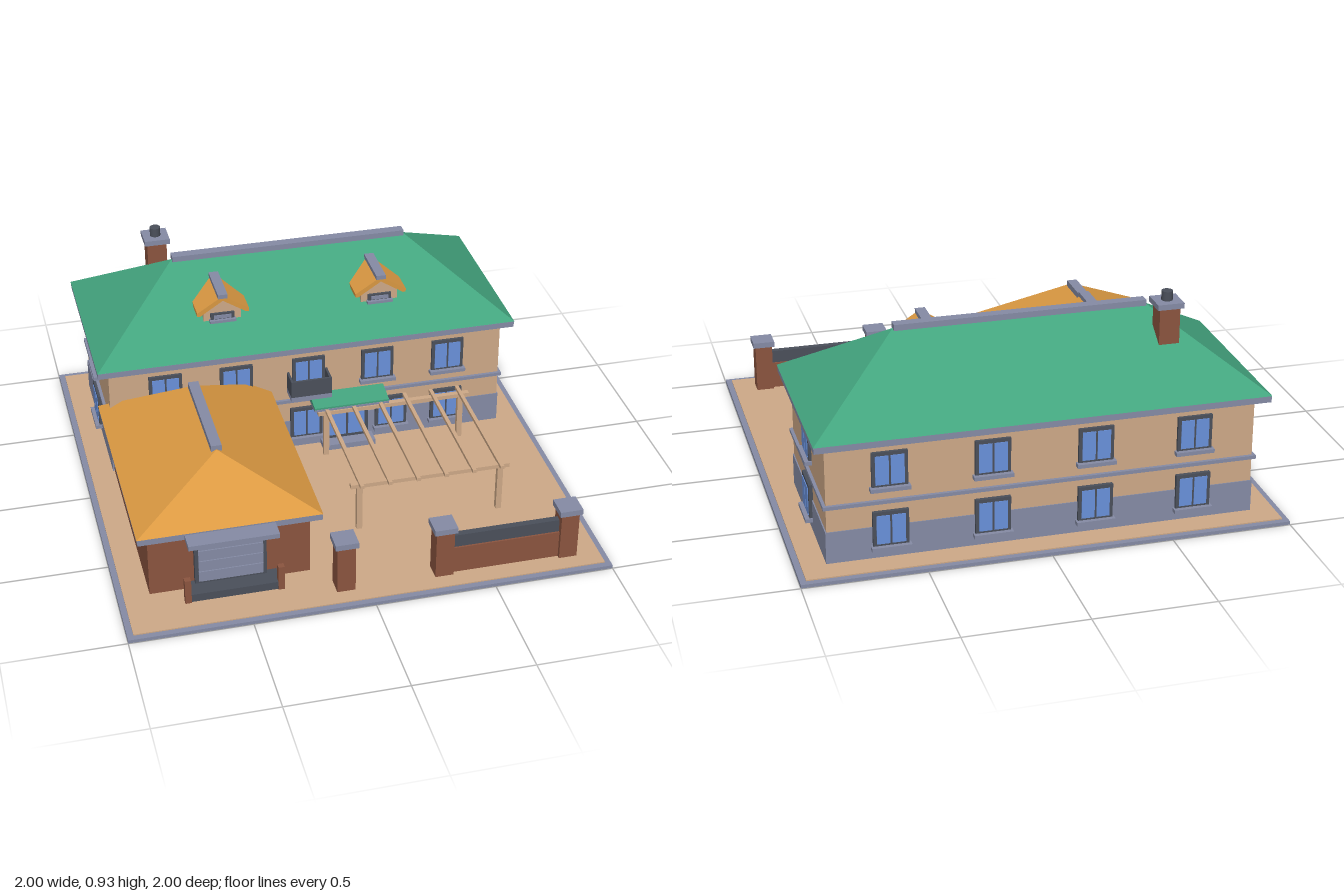
import * as THREE from 'three';

const paint = (name, color) => {
  const m = new THREE.MeshStandardMaterial({ color });
  m.name = name;
  return m;
};

export function createModel() {
  const house = new THREE.Group();
  house.name = 'house';
  const tan = paint('tan plaster', 0xcfaa88);
  const slate = paint('slate grey', 0x868ca6);
  const brick = paint('brick brown', 0x8c5540);
  const dark = paint('dark grey', 0x4b505b);
  const green = paint('green roof', 0x43a47e);
  const orange = paint('orange roof', 0xdb9942);
  const blue = paint('window blue', 0x6a92dc);

  const add = (name, geo, mat, parent = house) => {
    const m = new THREE.Mesh(geo, mat);
    m.name = name;
    parent.add(m);
    return m;
  };
  // Box given by its minimum and maximum on each axis
  const box = (name, mat, x0, x1, y0, y1, z0, z1, parent = house) => {
    const m = add(name, new THREE.BoxGeometry(x1 - x0, y1 - y0, z1 - z0), mat, parent);
    m.position.set((x0 + x1) / 2, (y0 + y1) / 2, (z0 + z1) / 2);
    return m;
  };
  const group = (name, x, y, z, turn = 0) => {
    const g = new THREE.Group();
    g.name = name;
    g.position.set(x, y, z);
    g.rotation.y = turn;
    house.add(g);
    return g;
  };
  // Hipped roof with its ridge along x
  const hipRoof = (name, mat, halfX, halfZ, halfRidge, h) => {
    const A = [-halfX, 0, -halfZ], B = [halfX, 0, -halfZ], C = [halfX, 0, halfZ], D = [-halfX, 0, halfZ];
    const P = [-halfRidge, h, 0], Q = [halfRidge, h, 0];
    const faces = [D, C, Q, D, Q, P, C, B, Q, B, A, P, B, P, Q, A, D, P, A, B, C, A, C, D];
    const geo = new THREE.BufferGeometry();
    geo.setAttribute('position', new THREE.Float32BufferAttribute(faces.flat(), 3));
    geo.computeVertexNormals();
    return add(name, geo, mat);
  };
  // Flat outline pushed along z from z = 0
  const prism = (points, depth) => new THREE.ExtrudeGeometry(
    new THREE.Shape(points.map(p => new THREE.Vector2(...p))), { depth, bevelEnabled: false });

  // Two-pane window whose origin is the middle of its frame on the wall
  const windowAt = (x, y, z, turn = 0) => {
    const g = group('window', x, y, z, turn);
    box('windowFrame', dark, -0.072, 0.072, -0.075, 0.075, -0.005, 0.012, g);
    for (const s of [-1, 1]) {
      const p = box('windowPane', blue, -0.027, 0.027, -0.062, 0.06, 0.012, 0.015, g);
      p.position.x = s * 0.031;
    }
    box('windowSill', slate, -0.08, 0.08, -0.087, -0.071, -0.005, 0.03, g);
  };

  // Plot
  box('groundSlab', slate, -1, 1, 0.001, 0.015, -1, 1);
  box('paving', tan, -0.975, 0.975, 0.015, 0.02, -0.975, 0.975);

  // Main house
  box('plinth', slate, -0.877, 0.877, 0.02, 0.155, -0.872, -0.15);
  box('walls', tan, -0.872, 0.872, 0.155, 0.53, -0.868, -0.153);
  box('floorBand', slate, -0.885, 0.885, 0.255, 0.27, -0.882, -0.14);
  box('eaves', slate, -0.92, 0.92, 0.52, 0.546, -0.925, -0.11);
  hipRoof('mainRoof', green, 0.922, 0.409, 0.52, 0.283).position.set(0, 0.547, -0.518);
  box('mainRidge', slate, -0.52, 0.52, 0.825, 0.85, -0.54, -0.497);

  // House windows
  for (const x of [-0.63, -0.32, 0, 0.31, 0.63]) windowAt(x, 0.4, -0.153);
  for (const x of [-0.01, 0.375, 0.63]) windowAt(x, 0.147, -0.15);
  for (const x of [-0.62, -0.21, 0.21, 0.62]) {
    windowAt(x, 0.4, -0.868, Math.PI);
    windowAt(x, 0.147, -0.872, Math.PI);
  }
  for (const s of [-1, 1]) {
    windowAt(s * 0.872, 0.4, -0.515, s * Math.PI / 2);
    windowAt(s * 0.877, 0.147, -0.515, s * Math.PI / 2);
  }

  // Chimney
  box('chimney', brick, -0.61, -0.525, 0.55, 0.867, -0.688, -0.605);
  box('chimneyCap', slate, -0.622, -0.512, 0.865, 0.888, -0.702, -0.592);
  add('chimneyPot', new THREE.CylinderGeometry(0.023, 0.023, 0.06, 16), dark).position.set(-0.567, 0.897, -0.647);

  // Dormers
  for (const x of [-0.353, 0.345]) {
    const g = group('dormer', x, 0, 0);
    add('dormerBody', prism([[-0.082, 0.6], [0.082, 0.6], [0.082, 0.705], [0, 0.765], [-0.082, 0.705]], 0.17), tan, g)
      .position.z = -0.43;
    add('dormerRoof', prism([[-0.113, 0.692], [-0.1, 0.692], [0, 0.757], [0.1, 0.692], [0.113, 0.692],
      [0.113, 0.708], [0, 0.78], [-0.113, 0.708]], 0.206), orange, g).position.z = -0.44;
    box('dormerRidge', slate, -0.021, 0.021, 0.768, 0.787, -0.44, -0.232, g);
    box('dormerFrame', dark, -0.052, 0.052, 0.655, 0.688, -0.262, -0.25, g);
    box('dormerPane', slate, -0.038, 0.038, 0.664, 0.68, -0.25, -0.246, g);
    box('dormerSill', slate, -0.057, 0.057, 0.648, 0.66, -0.262, -0.236, g);
  }

  // Balcony
  box('balconyFloor', slate, -0.095, 0.085, 0.308, 0.33, -0.155, -0.065);
  box('balconyFront', dark, -0.095, 0.085, 0.33, 0.408, -0.075, -0.065);
  for (const x of [-0.095, 0.075]) box('balconySide', dark, x, x + 0.01, 0.33, 0.408, -0.155, -0.075);

  // Entrance door with canopy
  box('doorFrame', dark, 0.075, 0.27, 0.03, 0.225, -0.152, -0.136);
  for (const x of [0.092, 0.178]) box('doorPane', blue, x, x + 0.075, 0.06, 0.212, -0.136, -0.133);
  box('doorStep', slate, 0.055, 0.29, 0.02, 0.045, -0.15, -0.08);
  box('canopySlab', slate, 0.005, 0.34, 0.25, 0.26, -0.152, -0.048);
  const canopy = add('canopyRoof', prism([[0.05, 0.26], [0.152, 0.26], [0.152, 0.287], [0.05, 0.268]], 0.335), green);
  canopy.rotation.y = Math.PI / 2;
  canopy.position.x = 0.005;

  // Garage wing
  box('garageWalls', brick, -0.87, -0.21, 0, 0.295, -0.149, 0.74);
  box('garageEaves', slate, -0.913, -0.165, 0.292, 0.32, -0.22, 0.778);
  const garageRoof = hipRoof('garageRoof', orange, 0.5, 0.376, 0.245, 0.203);
  garageRoof.position.set(-0.54, 0.32, 0.28);
  garageRoof.rotation.y = Math.PI / 2;
  box('garageRidge', slate, -0.562, -0.518, 0.513, 0.54, 0.03, 0.522);
  for (const z of [0.1, 0.47]) windowAt(-0.21, 0.147, z, Math.PI / 2);

  // Garage door
  box('garageDoorFrame', dark, -0.687, -0.393, 0.02, 0.28, 0.735, 0.762);
  for (let i = 0; i < 4; i++) {
    const y = 0.066 + i * 0.051;
    box('garageDoorPanel', slate, -0.672, -0.408, y, y + 0.047, 0.762, 0.768);
  }
  box('garageStep', dark, -0.73, -0.35, 0.02, 0.055, 0.74, 0.83);
  for (const x of [-0.742, -0.362]) box('garagePost', brick, x, x + 0.026, 0.02, 0.13, 0.81, 0.836);
  box('garageCanopy', slate, -0.725, -0.358, 0.292, 0.313, 0.74, 0.856);

  // Gate pillars and garden wall
  for (const x of [-0.1, 0.31, 0.838]) {
    box('gatePillar', brick, x - 0.038, x + 0.038, 0.02, 0.235, 0.832, 0.908);
    box('pillarCap', slate, x - 0.048, x + 0.048, 0.232, 0.257, 0.822, 0.918);
  }
  box('gardenWall', brick, 0.345, 0.8, 0.02, 0.14, 0.848, 0.892);
  box('gardenFence', dark, 0.345, 0.8, 0.14, 0.196, 0.856, 0.884);

  // Pergola
  for (const z of [-0.06, 0.505]) {
    box('pergolaBeam', tan, 0.02, 0.707, 0.228, 0.246, z - 0.012, z + 0.012);
    for (const x of [0.058, 0.668]) box('pergolaPost', tan, x - 0.012, x + 0.012, 0.02, 0.23, z - 0.011, z + 0.011);
  }
  for (let i = 0; i < 6; i++) {
    const x = 0.06 + i * 0.121;
    box('pergolaRafter', tan, x - 0.008, x + 0.008, 0.243, 0.258, -0.1, 0.547);
  }
  return house;
}
